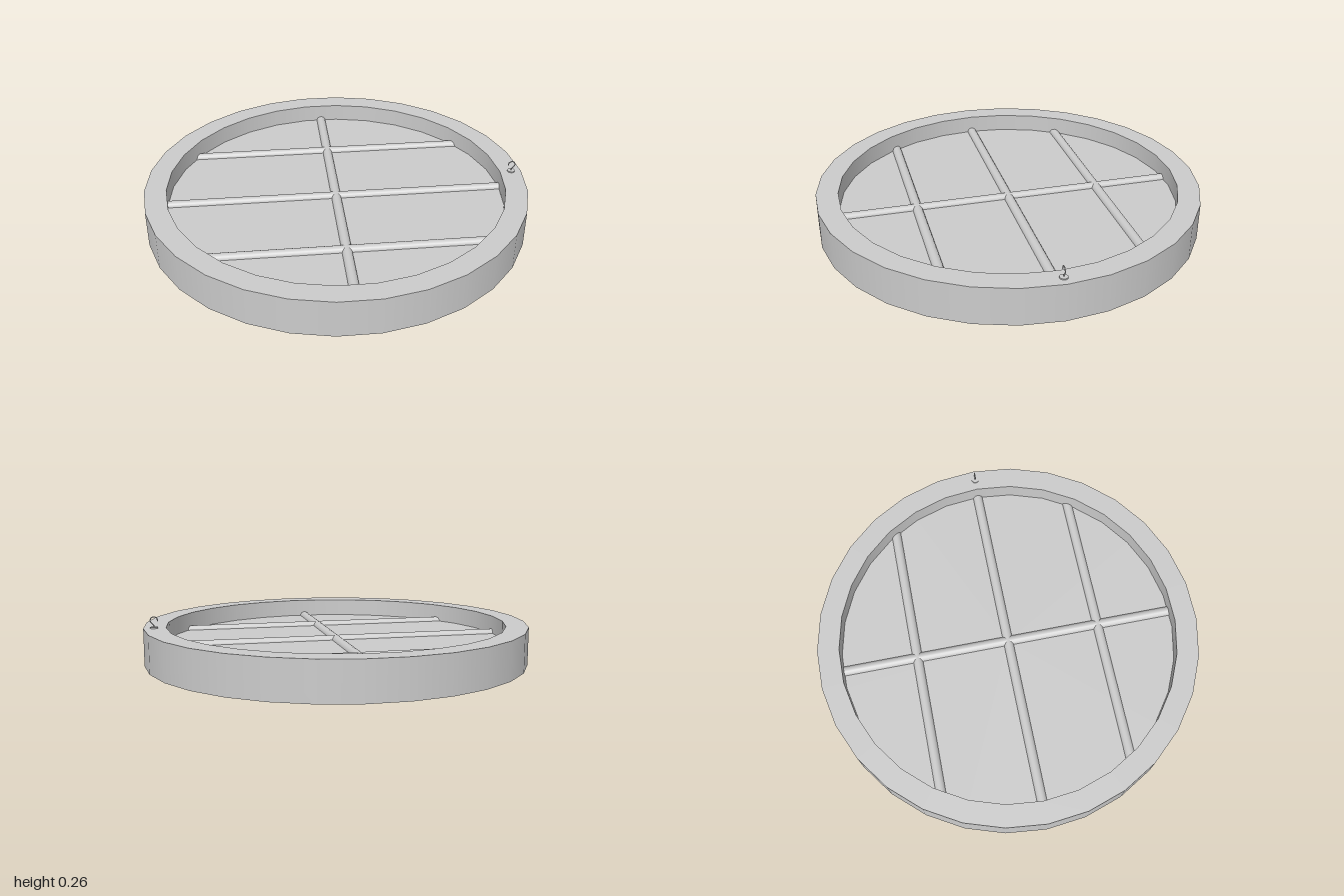
import * as THREE from 'three';

const SIDES = 30, OUTER = 1, INNER = 0.886, HEIGHT = 0.195, MID = HEIGHT / 2;
const BAR_RADIUS = 0.026, HOOK_X = 0.946;

export function createModel() {
  const group = new THREE.Group();
  const material = new THREE.MeshStandardMaterial({ color: 0xcccccc });
  const add = (name, geometry, x = 0, y = 0, z = 0) => {
    const mesh = new THREE.Mesh(geometry, material);
    mesh.name = name;
    mesh.position.set(x, y, z);
    group.add(mesh);
    return mesh;
  };

  // Round frame: corners are doubled in the profile so the rims stay sharp
  const corners = [[OUTER, 0], [OUTER, HEIGHT], [INNER, HEIGHT], [INNER, 0]];
  const profile = [];
  corners.forEach((c, i) => {
    profile.push(new THREE.Vector2(...c), new THREE.Vector2(...corners[(i + 1) % 4]));
  });
  add('frame', new THREE.LatheGeometry(profile, SIDES, Math.PI / 2));

  // Thin pane halfway up, its edge buried in the frame
  const pane = new THREE.CylinderGeometry(INNER + 0.02, INNER + 0.02, 0.006, SIDES, 1, false, Math.PI / 2);
  add('pane', pane, 0, MID, 0);

  // Round glazing bars: three across and one from front to back
  const addBar = (name, length, z, turn) => {
    const bar = new THREE.CylinderGeometry(BAR_RADIUS, BAR_RADIUS, length, 16);
    bar.rotateZ(Math.PI / 2).rotateY(turn);
    add(name, bar, 0, MID, z);
  };
  for (const z of [-0.49, 0, 0.49]) {
    addBar('crossBar', 2 * Math.sqrt((INNER + 0.03) ** 2 - z * z), z, 0);
  }
  addBar('longBar', 2 * (INNER + 0.03), 0, Math.PI / 2);

  // Hanging hook: a small base disc and a bent wire
  add('hookBase', new THREE.CylinderGeometry(0.02, 0.02, 0.006, 20), HOOK_X, HEIGHT + 0.003, 0);
  const path = [];
  for (let i = 0; i <= 8; i++) {
    const a = Math.PI * (1.05 - i * 0.165);
    path.push(new THREE.Vector3(0.018 * Math.cos(a), 0.04 + 0.018 * Math.sin(a), 0));
  }
  path.push(new THREE.Vector3(0.002, 0.017, 0), new THREE.Vector3(0, 0.003, 0));
  const wire = new THREE.TubeGeometry(new THREE.CatmullRomCurve3(path), 40, 0.0028, 8);
  add('hookWire', wire, HOOK_X, HEIGHT, 0);
  const tip = path[0];
  add('hookTip', new THREE.SphereGeometry(0.0028, 8, 6), HOOK_X + tip.x, HEIGHT + tip.y, 0);

  return group;
}
